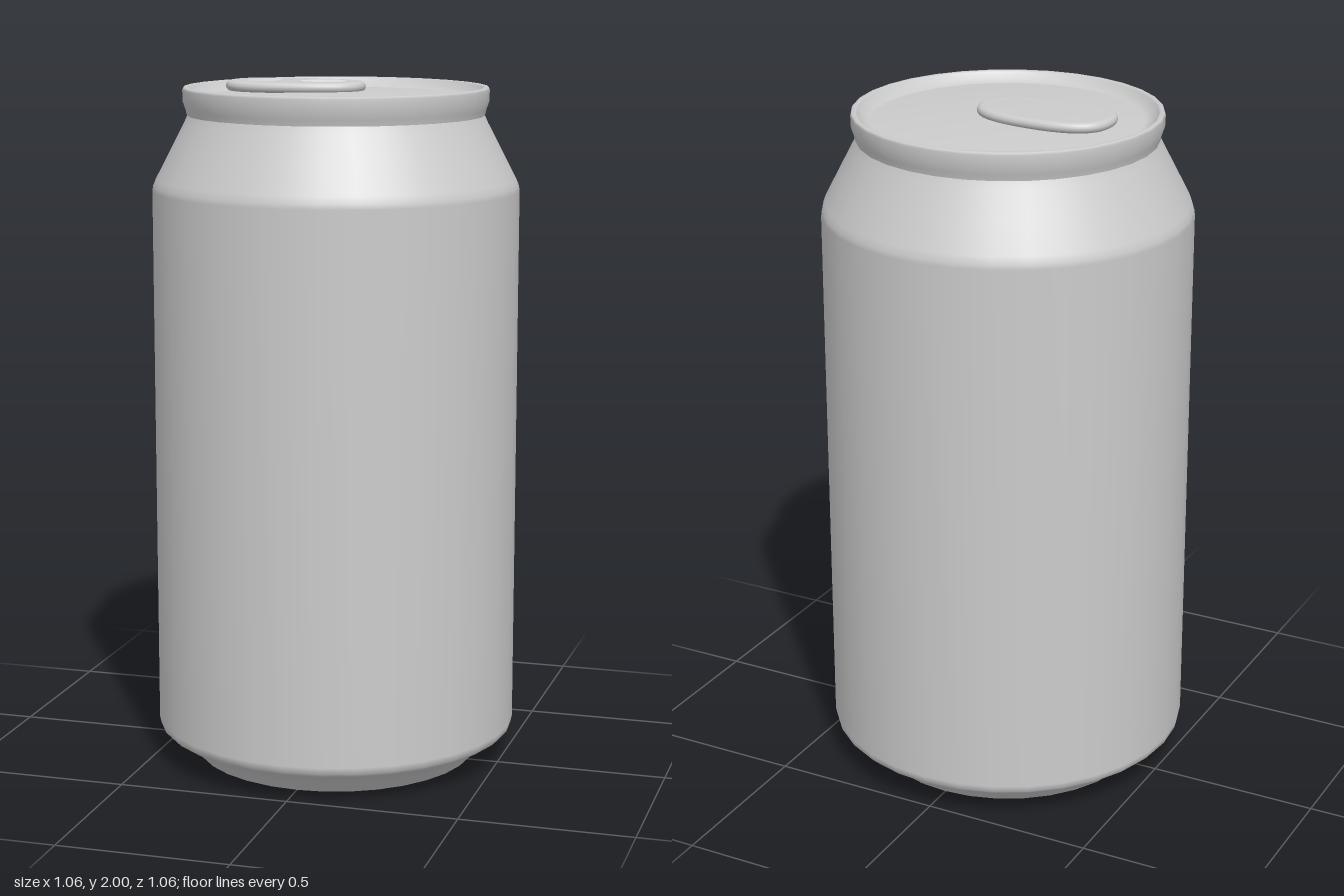
import * as THREE from 'three';
import { mergeVertices } from 'three/addons/utils/BufferGeometryUtils.js';

const SIDES = 32;
const material = new THREE.MeshStandardMaterial({ color: 0xcccccc });

function lathe(name, profile) {
  const points = profile.map(([r, y]) => new THREE.Vector2(r, y));
  const mesh = new THREE.Mesh(new THREE.LatheGeometry(points, SIDES), material);
  mesh.name = name;
  return mesh;
}

// Shallow spherical-style cap profile from the centre out to radius r
function dome(r, yCentre, yEdge, steps = 8) {
  return Array.from({ length: steps + 1 }, (_, i) => {
    const t = i / steps;
    return [r * t, yCentre + (yEdge - yCentre) * t * t];
  });
}

// Closed outline mirrored about the x axis; each curve is [c1x, c1y, c2x, c2y, x, y]
function mirrored(target, start, a, b) {
  target.moveTo(start, 0);
  target.bezierCurveTo(...a);
  target.bezierCurveTo(...b);
  target.bezierCurveTo(b[2], -b[3], b[0], -b[1], a[4], -a[5]);
  target.bezierCurveTo(a[2], -a[3], a[0], -a[1], start, 0);
  return target;
}

function createPullTab() {
  const shape = mirrored(new THREE.Shape(), -0.325,
    [-0.325, 0.08, -0.27, 0.12, -0.15, 0.12], [-0.02, 0.12, 0.085, 0.09, 0.085, 0]);
  // Finger hole and rivet-side hole
  shape.holes.push(
    mirrored(new THREE.Path(), -0.28,
      [-0.28, 0.05, -0.255, 0.083, -0.21, 0.083], [-0.17, 0.083, -0.155, 0.05, -0.155, 0]),
    mirrored(new THREE.Path(), -0.12,
      [-0.12, 0.035, -0.08, 0.072, -0.02, 0.072], [0.03, 0.072, 0.038, 0.045, 0.038, 0]));

  const bevel = 0.014;
  let geometry = new THREE.ExtrudeGeometry(shape, {
    depth: 0.002, curveSegments: 10, bevelEnabled: true, bevelSegments: 5,
    bevelThickness: bevel, bevelSize: 0.015, bevelOffset: -0.015,
  });
  // Weld the surface so the rounded edge shades smoothly
  geometry.deleteAttribute('normal');
  geometry.deleteAttribute('uv');
  geometry = mergeVertices(geometry, 1e-5);
  geometry.computeVertexNormals();
  geometry.rotateX(-Math.PI / 2);

  const tab = new THREE.Mesh(geometry, material);
  tab.name = 'pullTab';
  tab.position.y = 2 - bevel - 0.002;
  return tab;
}

export function createModel() {
  const can = new THREE.Group();
  can.name = 'drinkCan';

  // Concave underside
  can.add(lathe('base', dome(0.4, 0.09, 0)));

  // Foot, wall and tapered shoulder
  can.add(lathe('body', [
    [0.4, 0], [0.412, 0.005], [0.438, 0.032], [0.47, 0.06], [0.515, 0.085],
    [0.526, 0.096], [0.53, 0.115], [0.53, 1.69], [0.528, 1.705], [0.52, 1.725],
    [0.475, 1.812], [0.437, 1.885], [0.428, 1.905],
  ]));

  // Rolled rim
  can.add(lathe('rim', [
    [0.428, 1.905], [0.432, 1.922], [0.44, 1.945], [0.441, 1.978],
    [0.438, 1.985], [0.428, 1.986], [0.423, 1.982], [0.412, 1.967], [0.395, 1.957], [0.385, 1.957],
  ]));

  // Slightly domed lid
  can.add(lathe('lid', dome(0.385, 1.975, 1.957).reverse()));

  can.add(createPullTab());
  return can;
}
